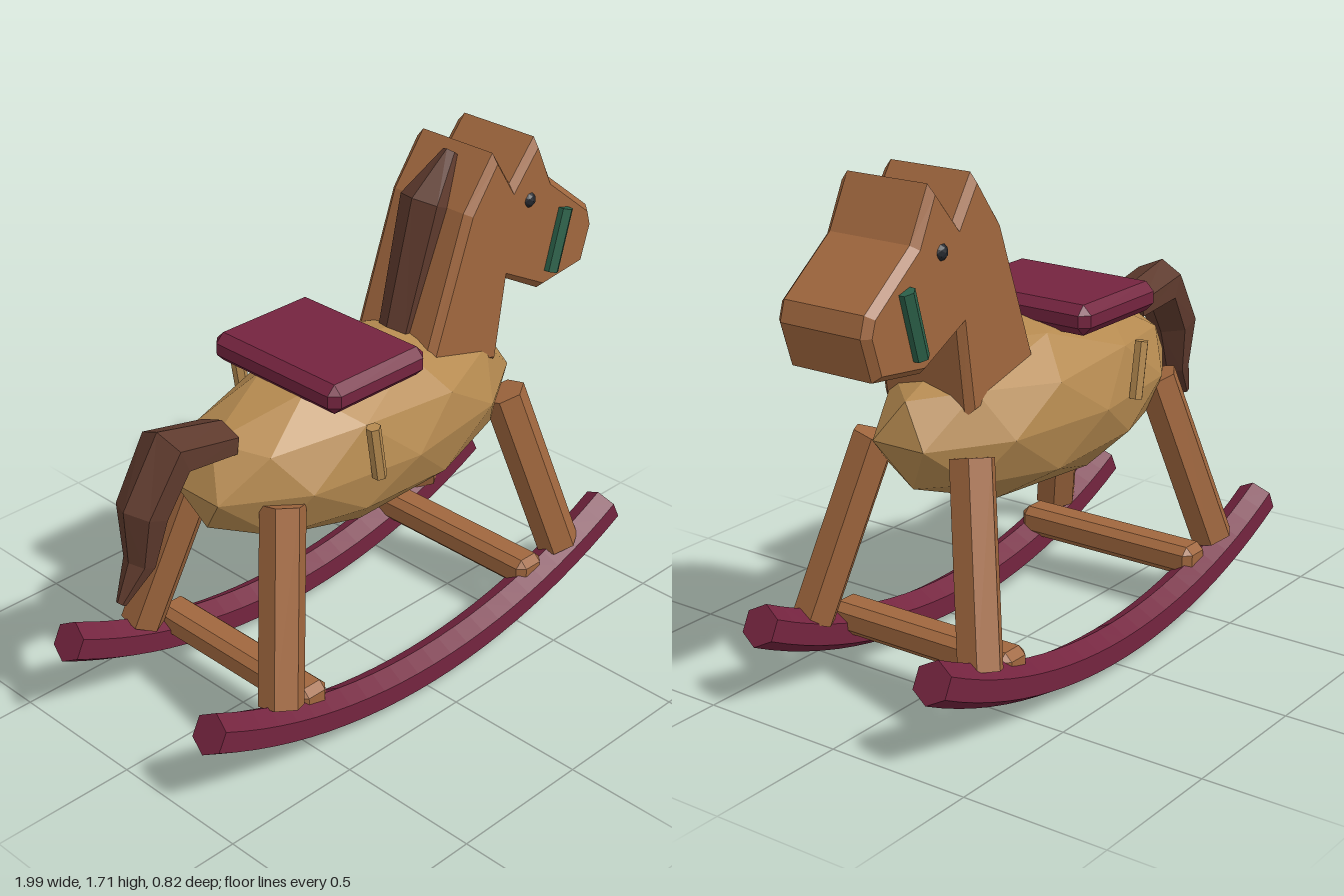
import * as THREE from 'three';
import { ConvexGeometry } from 'three/addons/geometries/ConvexGeometry.js';

const paint = (name, color) => Object.assign(new THREE.MeshStandardMaterial({ color }), { name });

// Gives every face its own flat normal
function faceted(geometry) {
  const g = geometry.index ? geometry.toNonIndexed() : geometry;
  g.computeVertexNormals();
  return g;
}

// Box with all edges cut at 45 degrees
function chamferBox(w, h, d, c) {
  const points = [];
  for (const x of [-1, 1]) for (const y of [-1, 1]) for (const z of [-1, 1]) {
    for (const flat of [0, 1, 2]) {
      const inset = [c, c, c];
      inset[flat] = 0;
      points.push(new THREE.Vector3(x * (w / 2 - inset[0]), y * (h / 2 - inset[1]), z * (d / 2 - inset[2])));
    }
  }
  return new ConvexGeometry(points);
}

// Six-sided sweep through rows of [x, y, radius in plane, radius in z]
function hexSweep(rows) {
  const pos = [], index = [], last = rows.length - 1;
  rows.forEach(([x, y, r, rz], i) => {
    const a = rows[Math.max(i - 1, 0)], b = rows[Math.min(i + 1, last)];
    const t = new THREE.Vector2(b[0] - a[0], b[1] - a[1]).normalize();
    for (let k = 0; k < 6; k++) {
      const c = Math.cos(k * Math.PI / 3) * r, s = Math.sin(k * Math.PI / 3) * rz / 0.866;
      pos.push(x - t.y * c, y + t.x * c, s);
    }
  });
  for (let i = 0; i < last; i++) for (let k = 0; k < 6; k++) {
    const a = i * 6 + k, b = i * 6 + (k + 1) % 6;
    index.push(a, b, a + 6, b, b + 6, a + 6);
  }
  for (let k = 1; k < 5; k++) index.push(0, k + 1, k, last * 6, last * 6 + k, last * 6 + k + 1);
  const g = new THREE.BufferGeometry();
  g.setAttribute('position', new THREE.Float32BufferAttribute(pos, 3));
  g.setIndex(index);
  return g;
}

// Hexagonal bar bent into an arc that curves up at both ends
function rockerGeometry(halfSpan, radius, thickness) {
  const length = 2 * radius * Math.asin(halfSpan / radius);
  const g = new THREE.CylinderGeometry(thickness, thickness, length, 6, 24);
  const p = g.attributes.position;
  for (let i = 0; i < p.count; i++) {
    const angle = p.getY(i) / radius, r = radius - p.getZ(i);
    p.setXYZ(i, Math.sin(angle) * r, thickness + radius - Math.cos(angle) * r, p.getX(i));
  }
  return g;
}

export function createModel() {
  const tan = paint('tan wood', 0xb58a50);
  const brown = paint('brown wood', 0xa0673e);
  const burgundy = paint('burgundy paint', 0x74243f);
  const dark = paint('dark brown hair', 0x5e3a2d);
  const green = paint('green strap', 0x2b6049);
  const black = paint('eye black', 0x23262c);

  const model = new THREE.Group();
  model.name = 'rockingHorse';
  const add = (name, geometry, material, x = 0, y = 0, z = 0) => {
    const mesh = new THREE.Mesh(faceted(geometry), material);
    mesh.name = name;
    mesh.position.set(x, y, z);
    model.add(mesh);
    return mesh;
  };

  // Faceted barrel body, one icosahedron corner pointing straight up
  const body = new THREE.IcosahedronGeometry(1, 1);
  body.rotateZ(-Math.atan(2 / (1 + Math.sqrt(5))));
  body.scale(0.7, 0.3, 0.32);
  add('body', body, tan, 0, 0.875, 0);

  // Neck and head: one thick board with bevelled edges
  const outline = [
    [0.18, 1.04], [0.36, 1.54], [0.49, 1.71], [0.577, 1.58], [0.69, 1.71], [0.775, 1.545],
    [0.98, 1.385], [1.0, 1.32], [0.955, 1.18], [0.74, 1.155], [0.565, 1.25], [0.525, 0.96],
  ].map(([x, y]) => new THREE.Vector2(x, y));
  const head = new THREE.ExtrudeGeometry(new THREE.Shape(outline), {
    depth: 0.3, bevelThickness: 0.025, bevelSize: 0.022, bevelOffset: -0.022, bevelSegments: 1,
  });
  add('neckAndHead', head.translate(0, 0, -0.15), brown);

  // Mane and tail
  add('mane', hexSweep([
    [0.225, 1.13, 0.06, 0.06], [0.345, 1.545, 0.07, 0.08], [0.46, 1.68, 0.025, 0.025],
  ]), dark);
  add('tail', hexSweep([
    [-0.56, 1.04, 0.055, 0.083], [-0.775, 1.075, 0.085, 0.088], [-0.88, 0.91, 0.075, 0.078],
    [-0.9, 0.74, 0.045, 0.05], [-0.98, 0.625, 0.016, 0.015],
  ]), dark);

  // Saddle
  add('saddle', chamferBox(0.42, 0.1, 0.56, 0.03), burgundy, -0.135, 1.17, 0);

  // Cross bars between the rockers
  for (const [name, x] of [['frontCrossBar', 0.54], ['rearCrossBar', -0.505]]) {
    add(name, chamferBox(0.12, 0.105, 0.72, 0.025), brown, x, 0.198, 0);
  }

  const up = new THREE.Vector3(0, 1, 0);
  for (const side of [1, -1]) {
    const label = side > 0 ? 'Front' : 'Back';

    // Rockers
    add('rocker' + label, rockerGeometry(0.94, 2.08, 0.07), burgundy, 0, 0, side * 0.34);

    // Splayed legs
    for (const [name, topX, footX] of [['chestLeg', 0.545, 0.7], ['rumpLeg', -0.48, -0.637]]) {
      const top = new THREE.Vector3(topX, 0.845, side * 0.19);
      const foot = new THREE.Vector3(footX, 0.24, side * 0.335);
      const axis = top.clone().sub(foot);
      const mid = top.clone().add(foot).multiplyScalar(0.5);
      const leg = add(name + label, new THREE.CylinderGeometry(0.075, 0.075, axis.length(), 6), brown, ...mid);
      leg.quaternion.setFromUnitVectors(up, axis.normalize());
    }

    // Eyes, cheek straps and foot pegs
    add('eye' + label, new THREE.IcosahedronGeometry(0.03, 1), black, 0.657, 1.505, side * 0.16);
    const strap = new THREE.CylinderGeometry(0.03, 0.03, 0.22, 6);
    add('cheekStrap' + label, strap, green, 0.802, 1.322, side * 0.18).rotation.z = -0.28;
    const peg = new THREE.CylinderGeometry(0.024, 0.024, 0.19, 6);
    add('footPeg' + label, peg, tan, -0.19, 0.96, side * 0.308).rotation.z = 0.16;
  }
  return model;
}
